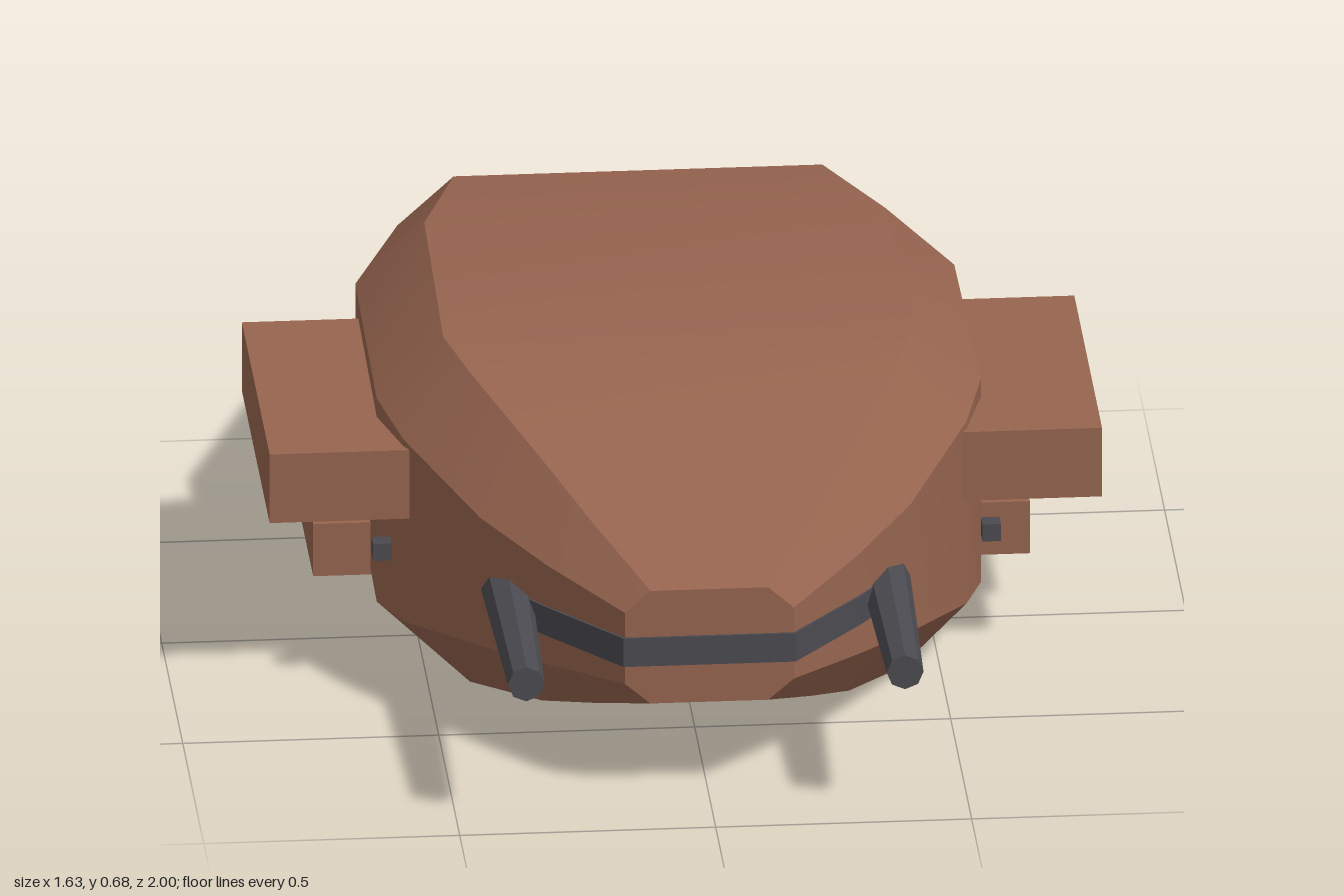
import * as THREE from 'three';
import { toCreasedNormals } from 'three/addons/utils/BufferGeometryUtils.js';

const hullPaint = new THREE.MeshStandardMaterial({ color: 0x96644f });
hullPaint.name = 'rust brown hull';
const darkMetal = new THREE.MeshStandardMaterial({ color: 0x4a4a50 });
darkMetal.name = 'dark metal';

// Chamfered sections, back to front: z, half width, half width of the flat roof,
// bottom, lower chamfer, upper chamfer, top
const SECTIONS = [
  [-0.85, 0.47, 0.36, 0.04, 0.14, 0.51, 0.61],
  [-0.45, 0.585, 0.45, 0.005, 0.13, 0.56, 0.685],
  [0.12, 0.59, 0.46, 0.005, 0.13, 0.56, 0.685],
  [0.27, 0.55, 0.42, 0.018, 0.15, 0.535, 0.672],
  [0.52, 0.42, 0.3, 0.08, 0.2, 0.47, 0.59],
  [0.68, 0.305, 0.215, 0.14, 0.225, 0.435, 0.522],
  [0.85, 0.165, 0.115, 0.207, 0.25, 0.4, 0.445],
];

function hullGeometry() {
  const points = [];
  for (const [z, w, f, y0, y1, y2, y3] of SECTIONS) {
    const ring = [[f, y0], [w, y1], [w, y2], [f, y3], [-f, y3], [-w, y2], [-w, y1], [-f, y0]];
    for (const [x, y] of ring) points.push(x, y, z);
  }
  const faces = [];
  const last = (SECTIONS.length - 1) * 8;
  for (let k = 0; k < last; k += 8) {
    for (let i = 0; i < 8; i++) {
      const a = k + i, b = k + (i + 1) % 8;
      faces.push(a, b, b + 8, a, b + 8, a + 8);
    }
  }
  // end caps
  for (let i = 1; i < 7; i++) faces.push(0, i + 1, i, last, last + i, last + i + 1);
  const geometry = new THREE.BufferGeometry();
  geometry.setAttribute('position', new THREE.Float32BufferAttribute(points, 3));
  geometry.setIndex(faces);
  return toCreasedNormals(geometry, 0.4);
}

// Thin band wrapped round the nose
function visorGeometry() {
  const path = [[-0.385, 0.575], [-0.309, 0.682], [-0.168, 0.855], [0.168, 0.855], [0.309, 0.682], [0.385, 0.575]];
  const shape = new THREE.Shape();
  path.forEach(([x, z], i) => (i ? shape.lineTo(x, -z) : shape.moveTo(x, -z)));
  [...path].reverse().forEach(([x, z]) => shape.lineTo(x * 0.98, -(z - 0.008)));
  const geometry = new THREE.ExtrudeGeometry(shape, { depth: 0.06, bevelEnabled: false });
  return geometry.rotateX(-Math.PI / 2).translate(0, 0.288, 0);
}

// Nozzle block with a triangular opening, flaring towards the hull
function engineGeometry() {
  const shape = new THREE.Shape();
  shape.absarc(0, 0, 0.14, 0, Math.PI * 2);
  const hole = new THREE.Path();
  hole.moveTo(-0.05, -0.04);
  hole.lineTo(0, 0.06);
  hole.lineTo(0.05, -0.04);
  hole.closePath();
  shape.holes.push(hole);
  const geometry = new THREE.ExtrudeGeometry(shape, { depth: 0.18, bevelEnabled: false, curveSegments: 16 });
  const p = geometry.attributes.position;
  for (let i = 0; i < p.count; i++) {
    const s = 1 + 0.65 * p.getZ(i);
    p.setXY(i, p.getX(i) * s, p.getY(i) * s);
  }
  return toCreasedNormals(geometry, 0.6);
}

export function createModel() {
  const model = new THREE.Group();
  model.name = 'spacecraft';
  const add = (name, geometry, material, x = 0, y = 0, z = 0) => {
    const mesh = new THREE.Mesh(geometry, material);
    mesh.name = name;
    mesh.position.set(x, y, z);
    model.add(mesh);
  };

  add('hull', hullGeometry(), hullPaint);
  add('visor', visorGeometry(), darkMetal);

  // Side pods, sensors and forward guns
  const upperPod = new THREE.BoxGeometry(0.32, 0.145, 0.66);
  const lowerPod = new THREE.BoxGeometry(0.22, 0.11, 0.56);
  const sensor = new THREE.BoxGeometry(0.036, 0.036, 0.036);
  const gun = toCreasedNormals(new THREE.CylinderGeometry(0.036, 0.05, 0.5, 8).rotateX(Math.PI / 2), 0.5);
  for (const [side, s] of [['left', 1], ['right', -1]]) {
    add(side + 'UpperPod', upperPod, hullPaint, s * 0.653, 0.448, -0.04);
    add(side + 'LowerPod', lowerPod, hullPaint, s * 0.59, 0.17, -0.33);
    add(side + 'Sensor', sensor, darkMetal, s * 0.595, 0.318, 0.3);
    add(side + 'Gun', gun, darkMetal, s * 0.37, 0.32, 0.75);
  }

  // Three engines across the stern
  const engine = engineGeometry();
  const core = new THREE.CircleGeometry(0.12, 16).rotateY(Math.PI);
  [['right', -0.325], ['middle', 0.008], ['left', 0.335]].forEach(([place, x]) => {
    add(place + 'Engine', engine, darkMetal, x, 0.32, -1);
    add(place + 'EngineCore', core, darkMetal, x, 0.32, -0.93);
  });

  return model;
}
